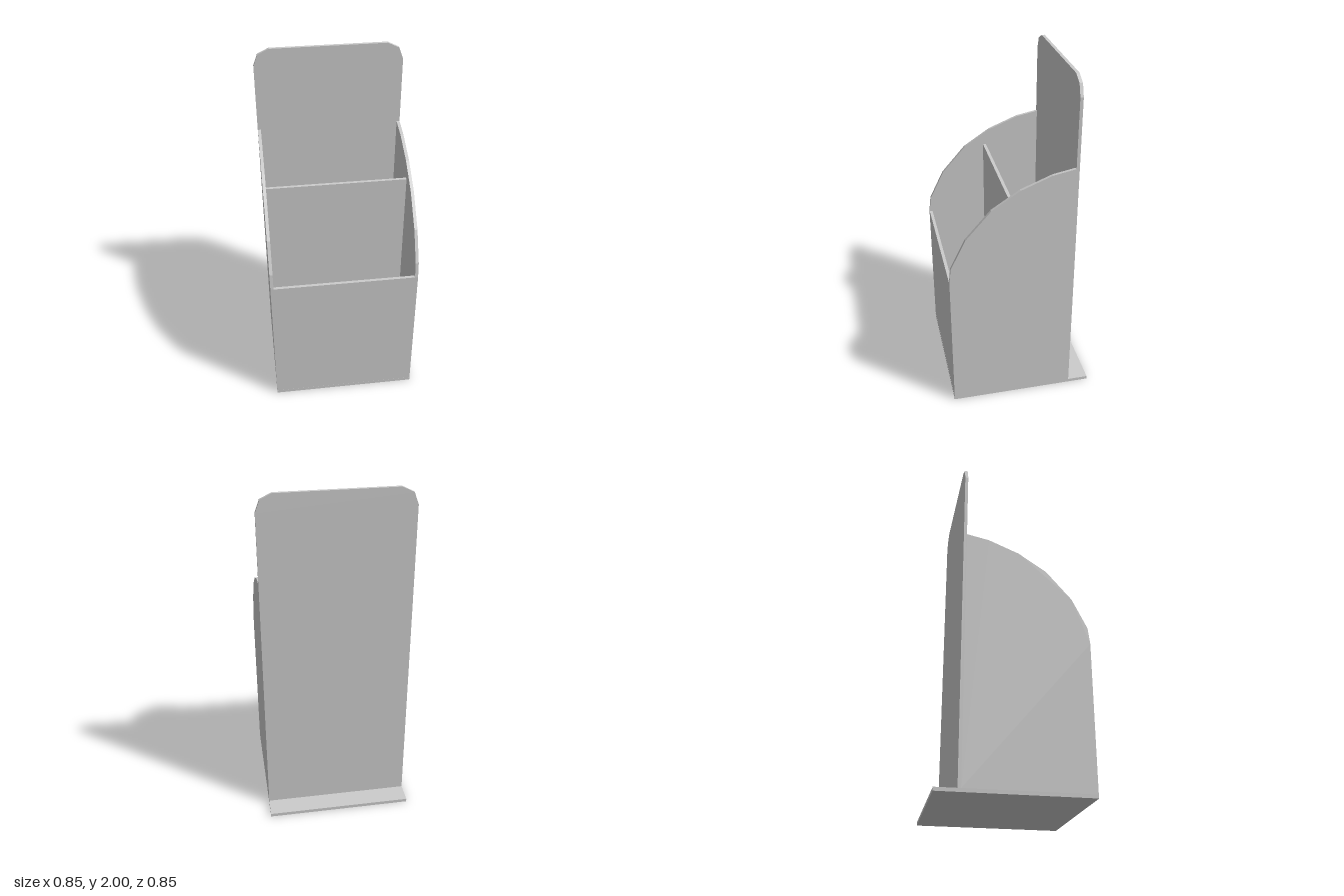
import * as THREE from 'three';

const W = 0.425;      // half width
const T = 0.018;      // board thickness
const FLOOR = 0.02;   // top of the base plate

const material = new THREE.MeshStandardMaterial({ color: 0xcccccc, flatShading: true });

// Flat board cut from an outline and given the common thickness
function board(points) {
  const shape = new THREE.Shape(points.map(([x, y]) => new THREE.Vector2(x, y)));
  return new THREE.ExtrudeGeometry(shape, { depth: T, bevelEnabled: false });
}

export function createModel() {
  const model = new THREE.Group();
  model.name = 'brochureHolder';

  function add(name, geometry, x, y, z) {
    const mesh = new THREE.Mesh(geometry, material);
    mesh.name = name;
    mesh.position.set(x, y, z);
    model.add(mesh);
    return mesh;
  }

  // Base plate, reaching out behind the back panel
  add('basePlate', new THREE.BoxGeometry(2 * W, FLOOR, 0.845), 0, FLOOR / 2, 0);

  // Tall back panel with clipped round corners
  const corner = [[W, 1.9], [0.4, 1.968], [0.335, 2]];
  const mirrored = corner.map(([x, y]) => [-x, y]).reverse();
  add('backPanel', board([[-W, FLOOR], [W, FLOOR], ...corner, ...mirrored]), 0, 0, -0.301);

  // Curved side panels, outlined in z and y
  const side = board([
    [-0.283, FLOOR], [0.422, FLOOR], [0.422, 0.865], [0.411, 0.96], [0.325, 1.135],
    [0.18, 1.3], [0.02, 1.405], [-0.155, 1.475], [-0.283, 1.5],
  ]).rotateY(-Math.PI / 2);
  add('leftSide', side, W, 0, 0);
  add('rightSide', side, -W + T, 0, 0);

  // Upright panels between the sides
  for (const [name, z, top] of [['frontPanel', 0.413, 0.865], ['divider', 0.054, 1.307]]) {
    const height = top - FLOOR;
    add(name, new THREE.BoxGeometry(2 * (W - T), height, T), 0, FLOOR + height / 2, z);
  }

  return model;
}
